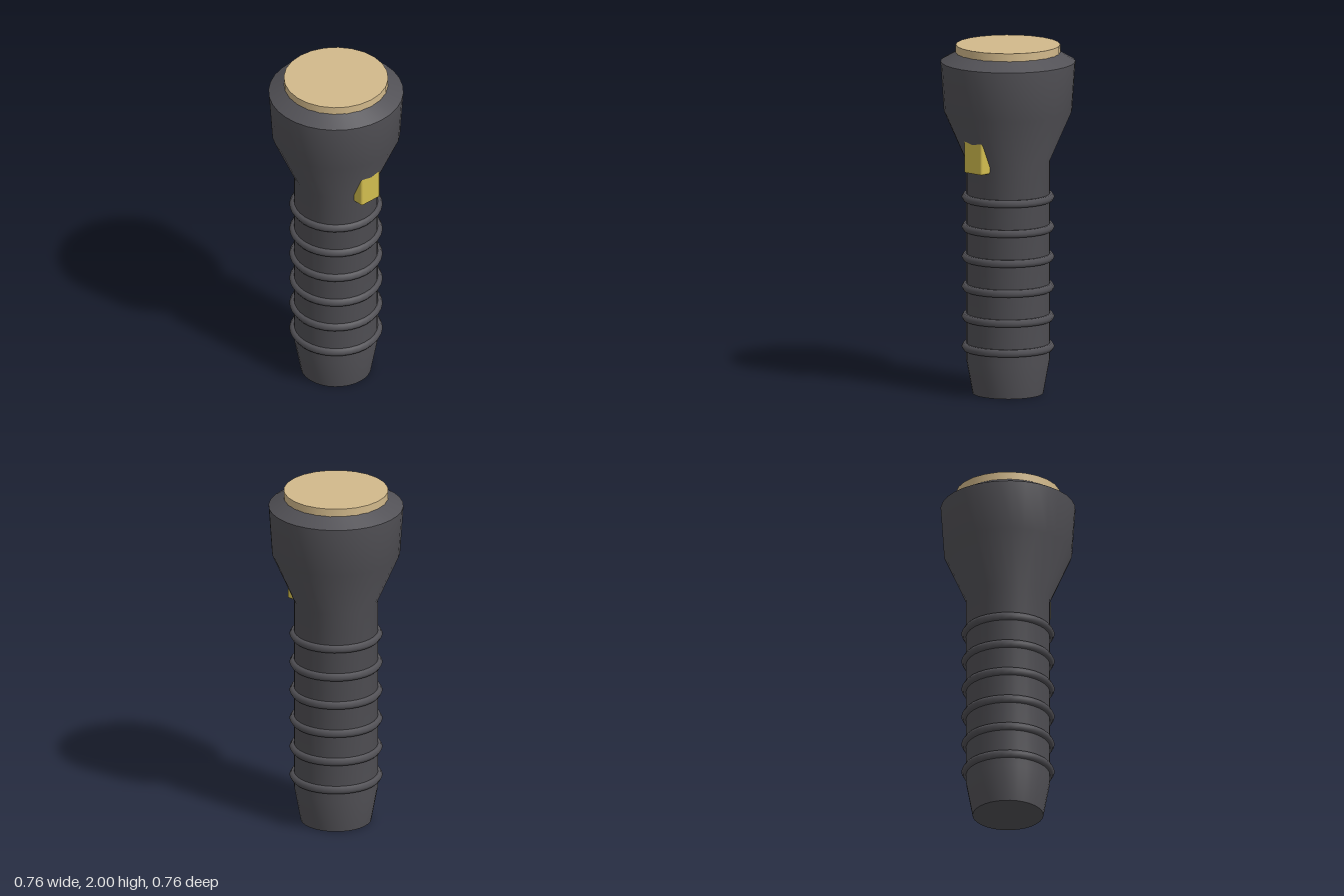
import * as THREE from 'three';
import { toCreasedNormals } from 'three/addons/utils/BufferGeometryUtils.js';
import { RoundedBoxGeometry } from 'three/addons/geometries/RoundedBoxGeometry.js';

const casing = new THREE.MeshStandardMaterial({ name: 'charcoal casing', color: 0x525156 });
const lensTan = new THREE.MeshStandardMaterial({ name: 'tan lens', color: 0xd2b98b });
const buttonYellow = new THREE.MeshStandardMaterial({ name: 'yellow button', color: 0xd2bd4f });

export function createModel() {
  const torch = new THREE.Group();
  torch.name = 'flashlight';

  function add(name, geometry, material, x = 0, y = 0, z = 0) {
    const mesh = new THREE.Mesh(geometry, material);
    mesh.name = name;
    mesh.position.set(x, y, z);
    torch.add(mesh);
    return mesh;
  }

  // Tapered tail, straight handle, flared head and bevelled rim
  const profile = [
    [0, 0], [0.2, 0], [0.237, 0.2], [0.237, 1.335],
    [0.362, 1.62], [0.381, 1.905], [0.292, 1.956], [0, 1.956],
  ].map(([r, y]) => new THREE.Vector2(r, y));
  add('body', toCreasedNormals(new THREE.LatheGeometry(profile, 32), 0.5), casing);

  // Lens disc standing proud of the rim
  add('lens', new THREE.CylinderGeometry(0.295, 0.295, 0.06, 24), lensTan, 0, 1.97, 0);

  // Grip rings along the handle
  const ringGeometry = new THREE.TorusGeometry(0.239, 0.024, 6, 32);
  for (let i = 0; i < 6; i++) {
    add('gripRing' + (i + 1), ringGeometry, casing, 0, 0.27 + i * 0.1714, 0).rotation.x = Math.PI / 2;
  }

  // Thumb switch, its top buried in the flare
  add('switchButton', new RoundedBoxGeometry(0.14, 0.19, 0.1, 2, 0.012), buttonYellow, 0, 1.388, 0.242);

  return torch;
}
